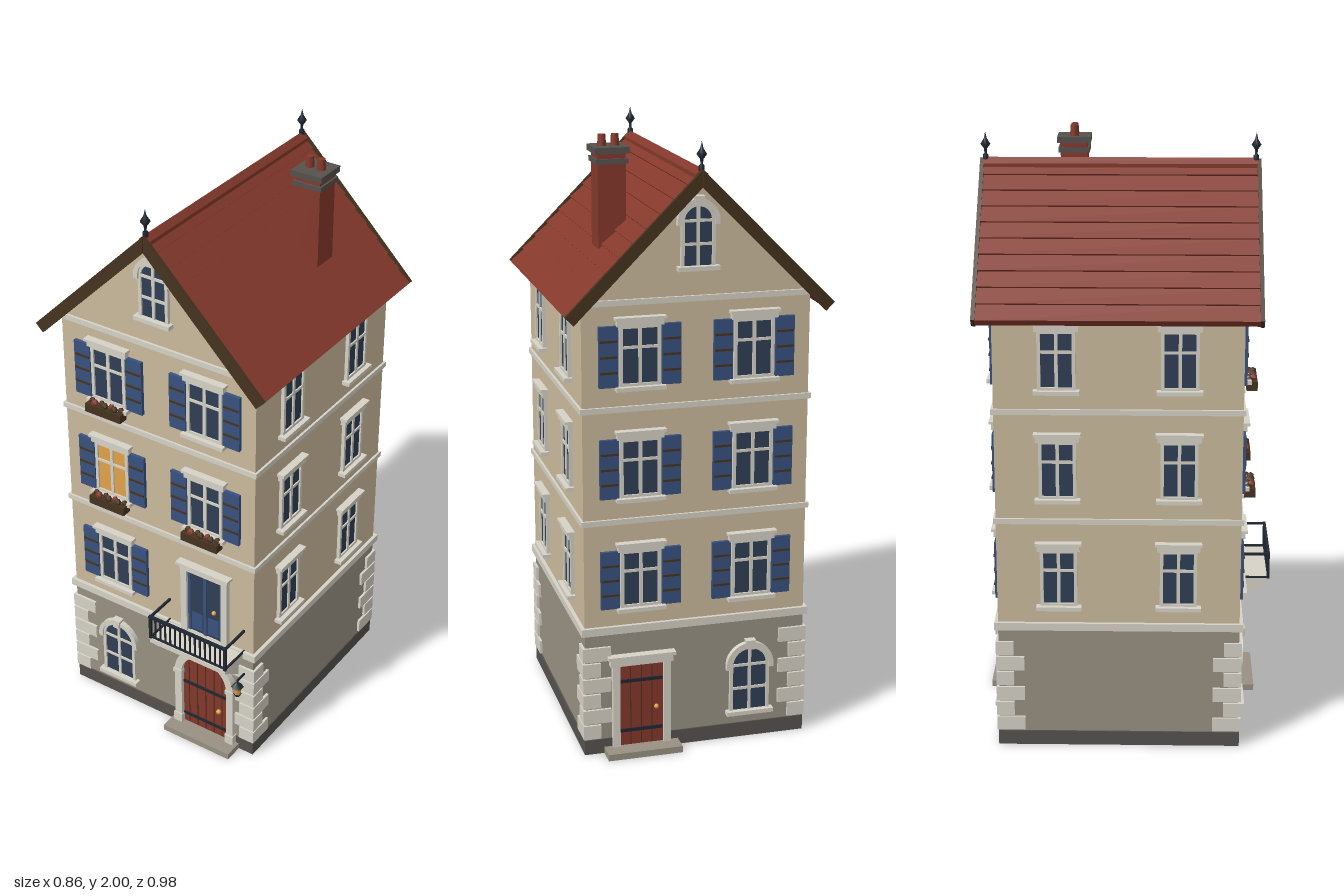
import * as THREE from 'three';

const mat = (name, color) => {
  const m = new THREE.MeshStandardMaterial({ color });
  m.name = name;
  return m;
};

export function createModel() {
  const stucco = mat('stucco', 0xcbbb9c), stone = mat('stone', 0x989182), trim = mat('trim', 0xd6d2c6);
  const slate = mat('slate', 0x55524d), red = mat('red tile', 0x84382b), wood = mat('dark wood', 0x46331f);
  const glass = mat('glass', 0x2f3f55), blue = mat('blue paint', 0x38527f);
  const glow = mat('warm light', 0xe3a24c), iron = mat('iron', 0x1f2730);

  const house = new THREE.Group();
  house.name = 'townHouse';
  const add = (parent, name, geo, m, x = 0, y = 0, z = 0) => {
    const mesh = new THREE.Mesh(geo, m);
    mesh.name = name;
    mesh.position.set(x, y, z);
    parent.add(mesh);
    return mesh;
  };
  const box = (p, name, m, w, h, d, x, y, z) => add(p, name, new THREE.BoxGeometry(w, h, d), m, x, y, z);
  const group = (p, name, x = 0, y = 0, z = 0) => {
    const g = new THREE.Group();
    g.name = name;
    g.position.set(x, y, z);
    p.add(g);
    return g;
  };
  const extrude = (shape, depth) => new THREE.ExtrudeGeometry(shape, { depth, bevelEnabled: false, curveSegments: 12 });
  const poly = (pts) => new THREE.Shape(pts.map(([x, y]) => new THREE.Vector2(x, y)));

  const HX = 0.37, ZF = 0.37, ZB = -0.425, ZC = (ZF + ZB) / 2, DEP = ZF - ZB;

  // Walls
  box(house, 'plinth', slate, 0.75, 0.05, DEP + 0.01, 0, 0.025, ZC);
  box(house, 'groundFloor', stone, 2 * HX, 0.38, DEP, 0, 0.235, ZC);
  add(house, 'upperWalls', extrude(poly([[-HX, 0.42], [HX, 0.42], [HX, 1.5], [0, 1.87], [-HX, 1.5]]), DEP), stucco, 0, 0, ZB);
  for (const [y, h, o] of [[0.432, 0.026, 0.024], [0.8, 0.018, 0.016], [1.17, 0.018, 0.016]])
    box(house, 'stringCourse', trim, 2 * HX + o, h, DEP + o, 0, y, ZC);

  // Corner quoins, long and short in turn
  for (const sx of [-1, 1]) for (const sz of [-1, 1]) for (let i = 0; i < 6; i++) {
    const w = i % 2 ? 0.085 : 0.05, d = i % 2 ? 0.05 : 0.085, o = 0.009;
    box(house, 'quoin', trim, w + o, 0.048, d + o, sx * (HX + o - (w + o) / 2), 0.079 + i * 0.0545,
      ZC + sz * (DEP / 2 + o - (d + o) / 2));
  }

  // Each wall is a group: x along the wall, y up, z outwards
  const front = group(house, 'frontWall', 0, 0, ZF);
  const back = group(house, 'backWall', 0, 0, ZB);
  back.rotation.y = Math.PI;
  const left = group(house, 'leftWall', HX, 0, ZC);
  left.rotation.y = Math.PI / 2;
  const right = group(house, 'rightWall', -HX, 0, ZC);
  right.rotation.y = -Math.PI / 2;

  // Flower box with small round plants
  const flowerBox = (w) => {
    const g = group(w, 'flowerBox', 0, -0.02, 0.03);
    box(g, 'planter', wood, 0.14, 0.03, 0.036, 0, 0, 0);
    for (let i = 0; i < 7; i++)
      add(g, 'plant', new THREE.IcosahedronGeometry(0.011 + 0.002 * (i % 2), 0), i % 3 === 1 ? red : wood,
        -0.057 + i * 0.019, 0.019 + 0.003 * (i % 2), i % 2 ? 0.006 : -0.006);
  };

  // Casement window with its origin at the centre of the sill
  const casement = (wall, x, y, { shutters = false, flowers = false, pane = glass, w = 0.13 } = {}) => {
    const g = group(wall, 'window', x, y, 0), h = 0.195;
    box(g, 'pane', pane, w, h, 0.006, 0, h / 2, 0.003);
    for (const s of [-1, 1]) {
      box(g, 'jamb', trim, 0.011, h, 0.012, s * (w / 2 - 0.004), h / 2, 0.006);
      box(g, 'rail', trim, w, 0.01, 0.012, 0, h / 2 + s * (h / 2 - 0.005), 0.006);
    }
    box(g, 'mullion', trim, 0.011, h, 0.01, 0, h / 2, 0.006);
    box(g, 'transom', trim, w, 0.009, 0.009, 0, 0.125, 0.006);
    box(g, 'lintel', trim, w + 0.022, 0.022, 0.018, 0, h + 0.009, 0.009);
    box(g, 'lintelCap', trim, w + 0.034, 0.009, 0.026, 0, h + 0.023, 0.013);
    box(g, 'sill', trim, w + 0.03, 0.013, 0.028, 0, -0.005, 0.014);
    if (flowers) flowerBox(g);
    if (shutters) for (const s of [-1, 1]) {
      const sh = group(g, 'shutter', s * (w / 2 + 0.036), h / 2, 0);
      box(sh, 'shutterPanel', blue, 0.062, h, 0.012, 0, 0, 0.006);
      for (let i = -1; i <= 1; i++) box(sh, 'shutterBatten', wood, 0.056, 0.007, 0.004, 0, i * 0.05, 0.013);
    }
  };

  const rows = [0.507, 0.879, 1.243], X = 0.185;
  rows.forEach((y, r) => {
    for (const s of [-1, 1]) {
      if (!(r === 0 && s === 1))
        casement(front, s * X, y, { shutters: true, flowers: r === 1 || (r === 2 && s < 0), pane: r === 1 && s < 0 ? glow : glass });
      casement(back, s * X, y, { shutters: true });
      casement(left, s * 0.195, y, { w: 0.118 });
      casement(right, s * 0.195, y, { w: 0.118 });
    }
  });

  // Arched panel, and arched band open at its foot
  const archPanel = (r, y0, spring) => {
    const s = new THREE.Shape();
    s.moveTo(-r, y0);
    s.lineTo(r, y0);
    s.lineTo(r, spring);
    s.absarc(0, spring, r, 0, Math.PI, false);
    return s;
  };
  const archBand = (o, i, y0, spring) => {
    const s = new THREE.Shape();
    s.moveTo(-o, y0);
    s.lineTo(-o, spring);
    s.absarc(0, spring, o, Math.PI, 0, true);
    s.lineTo(o, y0);
    s.lineTo(i, y0);
    s.lineTo(i, spring);
    s.absarc(0, spring, i, 0, Math.PI, false);
    s.lineTo(-i, y0);
    return s;
  };
  const keystone = (p, y, h) =>
    add(p, 'keystone', extrude(poly([[-0.011, y], [0.011, y], [0.017, y + h], [-0.017, y + h]]), 0.026), trim);

  const archWindow = (wall, x, y, r, spring) => {
    const g = group(wall, 'archedWindow', x, y, 0);
    add(g, 'pane', extrude(archPanel(r, 0, spring), 0.006), glass);
    add(g, 'frame', extrude(archBand(r + 0.003, r - 0.008, 0, spring), 0.012), trim);
    add(g, 'hood', extrude(archBand(r + 0.016, r, spring - 0.012, spring), 0.018), trim);
    box(g, 'mullion', trim, 0.01, spring + r, 0.01, 0, (spring + r) / 2, 0.006);
    for (const t of [0.5, 1]) box(g, 'transom', trim, 2 * r, 0.009, 0.009, 0, spring * t, 0.006);
    box(g, 'sill', trim, 2 * r + 0.03, 0.014, 0.026, 0, -0.002, 0.013);
    keystone(g, spring + r - 0.006, 0.032);
  };
  archWindow(front, -X, 0.095, 0.065, 0.165);
  archWindow(back, X, 0.095, 0.065, 0.165);
  for (const w of [front, back]) {
    archWindow(w, 0, 1.608, 0.052, 0.145);
    box(w, 'gableBand', trim, 2 * HX, 0.018, 0.01, 0, 1.51, 0.004);
  }

  // Arched front door
  const door = group(front, 'frontDoor', 0.183, 0, 0);
  box(door, 'doorStep', stone, 0.27, 0.022, 0.075, 0, 0.011, 0.035);
  add(door, 'doorLeaf', extrude(archPanel(0.094, 0.022, 0.25), 0.008), red);
  add(door, 'doorSurround', extrude(archBand(0.12, 0.092, 0.022, 0.25), 0.022), trim);
  for (const s of [-1, 1]) {
    box(door, 'surroundFoot', trim, 0.034, 0.035, 0.027, s * 0.106, 0.04, 0.0135);
    box(door, 'impost', trim, 0.034, 0.016, 0.027, s * 0.106, 0.25, 0.0135);
  }
  keystone(door, 0.336, 0.046);
  for (let i = -2; i <= 2; i++) box(door, 'boardJoint', wood, 0.003, 0.28, 0.002, i * 0.034, 0.165, 0.009);
  for (const y of [0.06, 0.205]) box(door, 'strapHinge', iron, 0.18, 0.011, 0.004, 0, y, 0.01);
  add(door, 'doorKnob', new THREE.SphereGeometry(0.009, 10, 8), glow, 0.057, 0.135, 0.014);

  // Square back door
  const rear = group(back, 'backDoor', -X, 0, 0);
  box(rear, 'doorStep', stone, 0.25, 0.022, 0.068, 0, 0.011, 0.034);
  box(rear, 'doorLeaf', red, 0.15, 0.29, 0.008, 0, 0.165, 0.004);
  for (const s of [-1, 1]) box(rear, 'doorJamb', trim, 0.024, 0.29, 0.02, s * 0.085, 0.165, 0.01);
  box(rear, 'doorLintel', trim, 0.21, 0.026, 0.022, 0, 0.321, 0.011);
  box(rear, 'doorCap', trim, 0.226, 0.011, 0.03, 0, 0.338, 0.015);
  for (let i = -1; i <= 1; i++) box(rear, 'boardJoint', wood, 0.003, 0.28, 0.002, i * 0.036, 0.165, 0.009);
  for (const y of [0.075, 0.25]) box(rear, 'strapHinge', iron, 0.14, 0.011, 0.004, 0, y, 0.01);
  add(rear, 'doorKnob', new THREE.SphereGeometry(0.008, 10, 8), glow, 0.05, 0.15, 0.013);

  // Balcony door
  const bd = group(front, 'balconyDoor', 0.182, 0.44, 0);
  box(bd, 'doorGlass', glass, 0.136, 0.26, 0.006, 0, 0.13, 0.003);
  for (const s of [-1, 1]) {
    box(bd, 'doorJamb', trim, 0.024, 0.26, 0.018, s * 0.08, 0.13, 0.009);
    box(bd, 'doorStile', blue, 0.01, 0.26, 0.009, s * 0.063, 0.13, 0.0045);
    box(bd, 'doorPanel', blue, 0.042, 0.07, 0.008, s * 0.032, 0.05, 0.004);
  }
  box(bd, 'meetingStile', blue, 0.012, 0.26, 0.01, 0, 0.13, 0.005);
  box(bd, 'doorLintel', trim, 0.188, 0.022, 0.02, 0, 0.268, 0.01);
  box(bd, 'doorCap', trim, 0.206, 0.01, 0.03, 0, 0.283, 0.015);
  add(bd, 'doorKnob', new THREE.SphereGeometry(0.008, 10, 8), glow, 0.038, 0.12, 0.012);

  // Balcony: slab, brackets and railing
  const bal = group(front, 'balcony', 0.183, 0, 0);
  box(bal, 'balconySlab', trim, 0.304, 0.018, 0.118, 0, 0.431, 0.059);
  for (const s of [-1, 1]) {
    const b = add(bal, 'bracket', extrude(poly([[0, 0.422], [0.11, 0.422], [0.11, 0.412], [0.016, 0.345], [0, 0.335]]), 0.016), trim, s * 0.126 + 0.008);
    b.rotation.y = -Math.PI / 2;
    box(bal, 'cornerPost', iron, 0.009, 0.092, 0.009, s * 0.15, 0.485, 0.114);
    box(bal, 'sideRail', iron, 0.007, 0.008, 0.114, s * 0.15, 0.529, 0.057);
    box(bal, 'sideFootRail', iron, 0.006, 0.006, 0.114, s * 0.15, 0.443, 0.057);
  }
  box(bal, 'topRail', iron, 0.31, 0.009, 0.01, 0, 0.529, 0.114);
  box(bal, 'footRail', iron, 0.3, 0.006, 0.006, 0, 0.446, 0.114);
  for (let i = 1; i < 15; i++) box(bal, 'baluster', iron, 0.005, 0.085, 0.005, -0.15 + i * 0.02, 0.485, 0.114);

  // Wall lantern
  const lamp = group(front, 'lantern', 0.34, 0, 0.05);
  box(lamp, 'lanternArm', iron, 0.006, 0.006, 0.05, 0, 0.353, -0.025);
  box(lamp, 'lanternHook', iron, 0.005, 0.02, 0.005, 0, 0.346, 0);
  add(lamp, 'lanternCap', new THREE.ConeGeometry(0.022, 0.018, 6), iron, 0, 0.335, 0);
  add(lamp, 'lanternLight', new THREE.CylinderGeometry(0.015, 0.011, 0.032, 6), glow, 0, 0.311, 0);
  add(lamp, 'lanternBase', new THREE.CylinderGeometry(0.014, 0.01, 0.008, 6), iron, 0, 0.292, 0);

  // Roof: one stepped profile per slope, tile courses overlapping downwards
  const R = Math.SQRT1_2, TOP = 1.913, LEN = 0.43 / R, N = 10;
  const slope = (side, pts) => poly(pts.map(([s, n]) => [side * (s + n) * R, TOP + (n - s) * R]));
  for (const side of [-1, 1]) {
    const pts = [[0.03, -0.03]];
    for (let i = 0; i < N; i++) pts.push([i * LEN / N, -0.007], [(i + 1) * LEN / N, 0]);
    pts[1][0] = 0.007;
    pts.push([LEN, -0.03]);
    add(house, 'roofSlope', extrude(slope(side, pts), 0.886), red, 0, 0, -0.471);
    for (const z of [0.414, -0.483])
      add(house, 'bargeboard', extrude(slope(side, [[0, 0], [LEN, 0], [LEN, -0.038], [0.038, -0.038]].map(([s, n]) => [s, n + 0.002])), 0.013), wood, 0, 0, z);
  }
  add(house, 'ridgeTiles', extrude(poly([[0, 1.918], [0.02, 1.9], [0.02, 1.885], [-0.02, 1.885], [-0.02, 1.9]]), 0.886), red, 0, 0, -0.471);

  // Ridge finials
  const finial = [[0, 1.9], [0.009, 1.9], [0.009, 1.925], [0.004, 1.93], [0.005, 1.945], [0.016, 1.96], [0.005, 1.978], [0, 2]];
  for (const z of [0.41, -0.465])
    add(house, 'finial', new THREE.LatheGeometry(finial.map(([r, y]) => new THREE.Vector2(r, y)), 10), iron, 0, 0, z);

  // Chimney
  const ch = group(house, 'chimney', 0.222, 0, -0.187);
  box(ch, 'shaft', red, 0.09, 0.34, 0.09, 0, 1.78, 0);
  box(ch, 'lowerCap', slate, 0.104, 0.016, 0.104, 0, 1.913, 0);
  box(ch, 'upperCap', slate, 0.112, 0.02, 0.112, 0, 1.947, 0);
  for (const s of [-1, 1])
    add(ch, 'chimneyPot', new THREE.CylinderGeometry(0.012, 0.015, 0.04, 12), red, s * 0.021, 1.973, 0);

  return house;
}
